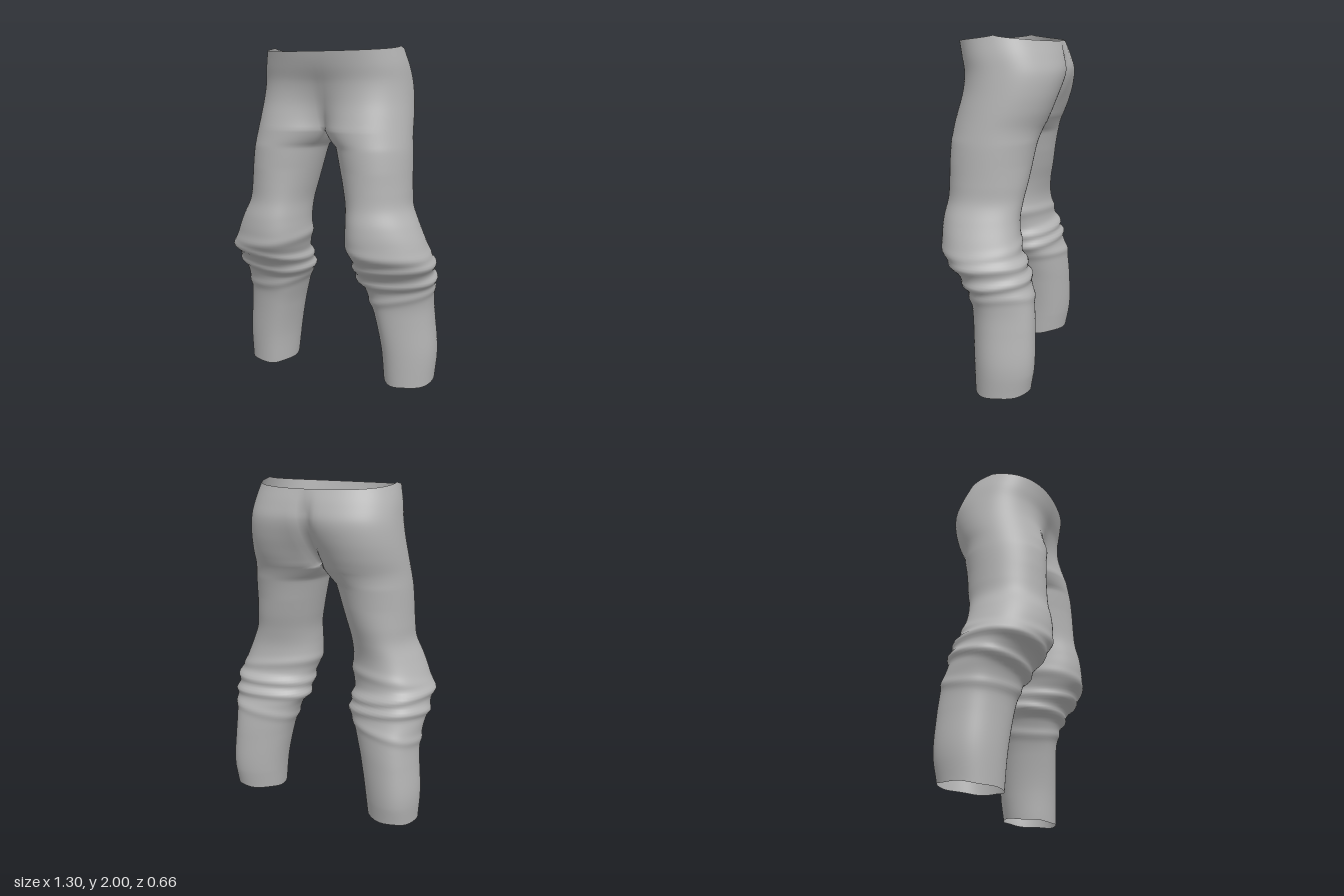
import * as THREE from 'three';
import { mergeGeometries, mergeVertices } from 'three/addons/utils/BufferGeometryUtils.js';

// Silhouette by height: [y, outer x, inner x, front z, back z]
const PROFILE = [
  [2.0, 0.41, 0.03, 0.29, -0.28], [1.9, 0.435, 0.03, 0.272, -0.315], [1.8, 0.45, 0.03, 0.255, -0.34],
  [1.7, 0.463, 0.03, 0.255, -0.325], [1.6, 0.475, 0.03, 0.268, -0.285], [1.5, 0.485, 0.035, 0.28, -0.23],
  [1.4, 0.495, 0.06, 0.288, -0.2], [1.2, 0.505, 0.11, 0.295, -0.165], [1.1, 0.515, 0.132, 0.302, -0.145],
  [1.0, 0.558, 0.138, 0.323, -0.135], [0.9, 0.6, 0.138, 0.33, -0.145], [0.82, 0.625, 0.155, 0.318, -0.16],
  [0.75, 0.635, 0.172, 0.265, -0.185], [0.7, 0.63, 0.168, 0.228, -0.2], [0.65, 0.628, 0.175, 0.19, -0.216],
  [0.6, 0.622, 0.203, 0.165, -0.232], [0.5, 0.615, 0.237, 0.138, -0.245], [0.4, 0.62, 0.265, 0.125, -0.252],
  [0.2, 0.636, 0.302, 0.11, -0.255], [0.0, 0.625, 0.32, 0.1, -0.232],
];

// Fabric folds round the knee: height, sideways slope, front-back slope, size, width
const FOLDS = {
  left: [[0.755, 0.01, 0.02, 0.02, 0.026], [0.665, 0.0, 0.03, 0.02, 0.024], [0.85, -0.03, 0.02, 0.008, 0.03],
    [0.56, 0.04, 0.03, 0.008, 0.025]],
  right: [[0.775, 0.035, 0.01, 0.022, 0.026], [0.685, 0.02, 0.03, 0.02, 0.024], [0.87, -0.02, 0.03, 0.008, 0.03],
    [0.57, -0.03, 0.02, 0.008, 0.025]],
};

const CROTCH = 1.53, OUTER = 48, INNER = 12, COLS = OUTER + INNER;
const clamp = (v) => Math.min(1, Math.max(0, v));
const lerp = THREE.MathUtils.lerp;

// Smooth lookup in the silhouette table
function profileAt(y) {
  let i = 0;
  while (i < PROFILE.length - 2 && PROFILE[i + 1][0] > y) i++;
  const at = (k) => PROFILE[Math.min(PROFILE.length - 1, Math.max(0, k))];
  const [p, a, b, n] = [at(i - 1), at(i), at(i + 1), at(i + 2)];
  const t = (y - a[0]) / (b[0] - a[0]);
  return [1, 2, 3, 4].map((k) => {
    const ma = (b[k] - p[k]) / (b[0] - p[0] || 1) * (b[0] - a[0]);
    const mb = (n[k] - a[k]) / (n[0] - a[0] || 1) * (b[0] - a[0]);
    const t2 = t * t, t3 = t2 * t;
    return (2 * t3 - 3 * t2 + 1) * a[k] + (t3 - 2 * t2 + t) * ma + (3 * t2 - 2 * t3) * b[k] + (t3 - t2) * mb;
  });
}

// One point of a half: outer columns run front to back, inner columns close the leg
function pointAt(y, j, folds) {
  const [outer, inner, front, back] = profileAt(y);
  const s = j / OUTER;
  const theta = j <= OUTER
    ? THREE.MathUtils.degToRad(-60 + 300 * s)
    : THREE.MathUtils.degToRad(240 + 60 * (j - OUTER) / INNER);
  const cx = (outer + inner) / 2, cz = (front + back) / 2;
  const rx = (outer - inner) / 2, rz = (front - back) / 2;
  const sn = Math.sin(theta), cs = Math.cos(theta);

  // Leg ring, leaning outward at the back of the knee
  let bump = 0;
  for (const [fy, sx, sz, size, width] of folds) {
    bump += size * Math.exp(-(((y - fy - sx * sn + sz * cs) / width) ** 2));
  }
  const lean = 0.05 * clamp((1.3 - y) / 0.4) * clamp((y + 0.3) / 0.8);
  let x = cx + (rx + bump) * sn - lean * cs * (1 - sn * sn);
  let z = cz + (rz + bump) * cs;

  // Pull the inner thigh to the centre line near the crotch
  const join = clamp((y - 1.43) / (CROTCH - 1.43));
  if (join > 0) {
    const end = cx - rx * Math.sin(Math.PI / 3);
    const pulled = Math.max(0, outer - (outer - x) * outer / (outer - end));
    x = lerp(x, pulled, join);
  }

  // Hips: ease from two thighs to one rounded waist
  if (y >= CROTCH - 1e-6 && j <= OUTER) {
    const phi = Math.PI * s, c = Math.cos(phi);
    const w = (1 - clamp((y - CROTCH) / 0.45)) ** 2;
    const hx = outer * Math.sin(phi) ** 0.85;
    const hz = cz + rz * Math.sign(c) * Math.abs(c) ** 0.85;
    x = lerp(hx, x, w);
    z = lerp(hz, z, w);
    if (c < 0) z += 0.035 * Math.exp(-((x / 0.035) ** 2)) * clamp((2.0 - y) / 0.15);
    if (j === 0 || j === OUTER) x = 0;
    y -= 0.032 * Math.abs(c) ** 0.6 * clamp((y - 1.8) / 0.2);
  }

  // Hem rises toward the back, with a slight wave
  y += (0.018 * (1 - cs) + 0.003 * (1 + Math.sin(theta * 5))) * clamp((0.15 - y) / 0.15);
  return [x, y, z];
}

// One half of the trousers, mirrored when side is -1
function halfGeometry(side, folds) {
  const heights = [];
  const hipRows = 24, legRows = 110;
  for (let i = 0; i <= hipRows; i++) heights.push(lerp(2, CROTCH, i / hipRows));
  for (let i = 1; i <= legRows; i++) heights.push(lerp(CROTCH, 0, i / legRows));
  const positions = [], index = [];
  for (const y of heights) {
    for (let j = 0; j < COLS; j++) {
      const [px, py, pz] = pointAt(y, j, folds);
      positions.push(px * side, py, pz);
    }
  }
  for (let i = 0; i < heights.length - 1; i++) {
    const count = i < hipRows ? OUTER : COLS;
    for (let j = 0; j < count; j++) {
      const a = i * COLS + j, b = i * COLS + (j + 1) % COLS;
      const c = a + COLS, d = b + COLS;
      if (side > 0) index.push(a, c, b, b, c, d);
      else index.push(a, b, c, b, d, c);
    }
  }
  const geometry = new THREE.BufferGeometry();
  geometry.setAttribute('position', new THREE.Float32BufferAttribute(positions, 3));
  geometry.setIndex(index);
  return geometry;
}

export function createModel() {
  const group = new THREE.Group();
  group.name = 'trousers';
  const cloth = new THREE.MeshStandardMaterial({ color: 0xb4b4b4, side: THREE.DoubleSide });
  cloth.name = 'grey cloth';

  // Both halves welded along the centre seam for smooth shading
  const geometry = mergeVertices(
    mergeGeometries([halfGeometry(1, FOLDS.left), halfGeometry(-1, FOLDS.right)]), 1e-4);
  geometry.computeVertexNormals();
  const mesh = new THREE.Mesh(geometry, cloth);
  mesh.name = 'trouserCloth';
  group.add(mesh);
  return group;
}
